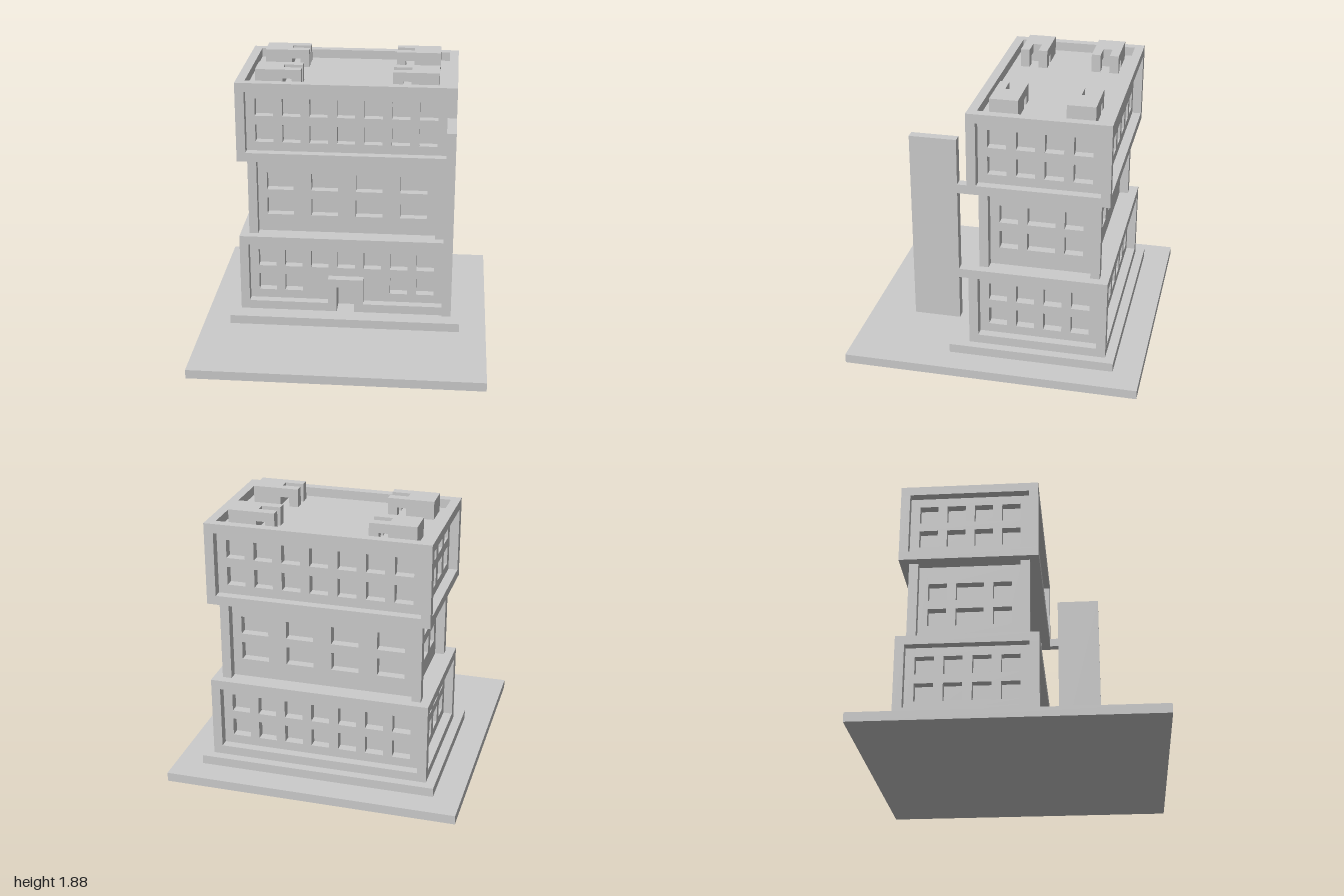
import * as THREE from 'three';

// All sizes are in grid units of 1/16; the whole group is scaled at the end.
const MID_Z = -4.5; // centre of the building in depth
const mat = new THREE.MeshStandardMaterial({ color: 0xcccccc, flatShading: true });

function box(parent, name, x0, x1, y0, y1, z0, z1) {
  const m = new THREE.Mesh(new THREE.BoxGeometry(x1 - x0, y1 - y0, z1 - z0), mat);
  m.position.set((x0 + x1) / 2, (y0 + y1) / 2, (z0 + z1) / 2);
  m.name = name;
  parent.add(m);
}

const polygon = pts => new THREE.Shape(pts.map(p => new THREE.Vector2(...p)));
const rect = (x0, x1, y0, y1) => [[x0, y0], [x1, y0], [x1, y1], [x0, y1]];

// Wall one unit thick with window holes; windows are [centre, width], rows are sill heights
function wall(half, y0, y1, windows, rows, door) {
  const outline = rect(-half, half, y0, y1);
  if (door) outline.splice(1, 0, [-1, y0], [-1, 5], [1, 5], [1, y0]);
  const shape = polygon(outline);
  rows.forEach((y, r) => windows.forEach(([c, w]) => {
    if (door && r === 0 && Math.abs(c) < 5) return; // space around the entrance
    shape.holes.push(polygon(rect(c - w / 2, c + w / 2, y, y + 2).reverse()));
  }));
  return new THREE.ExtrudeGeometry(shape, { depth: 1, bevelEnabled: false });
}

// One storey block: solid core, four windowed walls and corner posts
function tier(name, hx, hz, y0, y1, wide, narrow, rows, door) {
  const g = new THREE.Group();
  g.name = name;
  box(g, 'core', -(hx - 2), hx - 2, y0, y1, MID_Z - hz + 2, MID_Z + hz - 2);
  for (let i = 0; i < 4; i++) {
    const side = i % 2 === 1;
    const geo = wall((side ? hz : hx) - 1, y0, y1, side ? narrow : wide, rows, door && i === 0);
    geo.translate(0, 0, (side ? hx : hz) - 2);
    const m = new THREE.Mesh(geo, mat);
    m.rotation.y = i * Math.PI / 2;
    m.position.z = MID_Z;
    m.name = ['frontWall', 'rightWall', 'backWall', 'leftWall'][i];
    g.add(m);
  }
  for (const sx of [-1, 1]) for (const sz of [-1, 1]) {
    const x = sx * (hx - 0.5), z = MID_Z + sz * (hz - 0.5);
    box(g, 'cornerPost', x - 0.5, x + 0.5, y0, y1, z - 0.5, z + 0.5);
  }
  return g;
}

// Rooftop unit: solid body with two arms that end in legs
function roofUnit(side, z) {
  const g = new THREE.Group();
  g.name = 'roofUnit';
  const part = (name, a, b, y0, y1, z0, z1) =>
    box(g, name, Math.min(side * a, side * b), Math.max(side * a, side * b), y0, y1, z + z0, z + z1);
  part('unitBody', 7, 10, 28, 30, -1.5, 1.5);
  for (const s of [-1, 1]) {
    part('unitArm', 5, 7, 29, 30, s - 0.5, s + 0.5);
    part('unitLeg', 5, 6, 28, 29, s - 0.5, s + 0.5);
  }
  return g;
}

export function createModel() {
  const group = new THREE.Group();
  group.name = 'building';

  // Ground slab and step
  box(group, 'groundSlab', -16, 16, 0, 1, -16, 16);
  box(group, 'step', -13, 13, 1, 2, -13, 5);

  // Three stacked blocks
  const seven = [-9, -6, -3, 0, 3, 6, 9].map(c => [c, 2]);
  const four = [-4.5, -1.5, 1.5, 4.5].map(c => [c, 2]);
  const wideFour = [-7.5, -2.5, 2.5, 7.5].map(c => [c, 3]);
  const three = [[-3.5, 2], [0, 3], [3.5, 2]];
  const lower = tier('lowerBlock', 12, 7.5, 2, 10, seven, four, [4, 7], true);
  const middle = tier('middleBlock', 11, 6.5, 11, 20, wideFour, three, [13, 16], false);
  const upper = tier('upperBlock', 12, 7.5, 21, 28, seven, four, [22, 25], false);
  group.add(lower, middle, upper);

  // Lower sill, split at the entrance, and ledges
  for (const s of [-1, 1]) {
    box(lower, 'frontSill', s < 0 ? -11 : 2, s < 0 ? -2 : 11, 2, 3, 2, 3);
    box(lower, 'sideSill', s < 0 ? -12 : 11, s < 0 ? -11 : 12, 2, 3, -11, 2);
  }
  box(lower, 'backSill', -11, 11, 2, 3, -12, -11);
  box(lower, 'lowerLedge', -12, 12, 10, 11, -12, 3);
  box(upper, 'upperFloor', -12, 12, 20, 21, -12, 3);

  // Entrance surround
  const portal = polygon([[-2, 2], [-1, 2], [-1, 5], [1, 5], [1, 2], [2, 2], [2, 6], [-2, 6]]);
  const door = new THREE.Mesh(new THREE.ExtrudeGeometry(portal, { depth: 1, bevelEnabled: false }), mat);
  door.name = 'entranceSurround';
  door.position.z = 2;
  lower.add(door);

  // Parapet around the roof, also the top band of the upper block
  const ring = polygon(rect(-12, 12, -7.5, 7.5));
  ring.holes.push(polygon(rect(-11, 11, -6.5, 6.5).reverse()));
  const parapet = new THREE.Mesh(new THREE.ExtrudeGeometry(ring, { depth: 1, bevelEnabled: false }), mat);
  parapet.name = 'parapet';
  parapet.rotation.x = -Math.PI / 2;
  parapet.position.set(0, 28, MID_Z);
  upper.add(parapet);

  // Rooftop units
  for (const s of [-1, 1]) for (const z of [-8.5, -0.5]) group.add(roofUnit(s, z));

  // Vertical sign fin with two brackets
  box(group, 'fin', 11, 12, 5, 26, 4, 9);
  for (const y of [10, 20]) box(group, 'finBracket', 11, 12, y, y + 1, 3, 4);

  group.scale.setScalar(1 / 16);
  return group;
}
